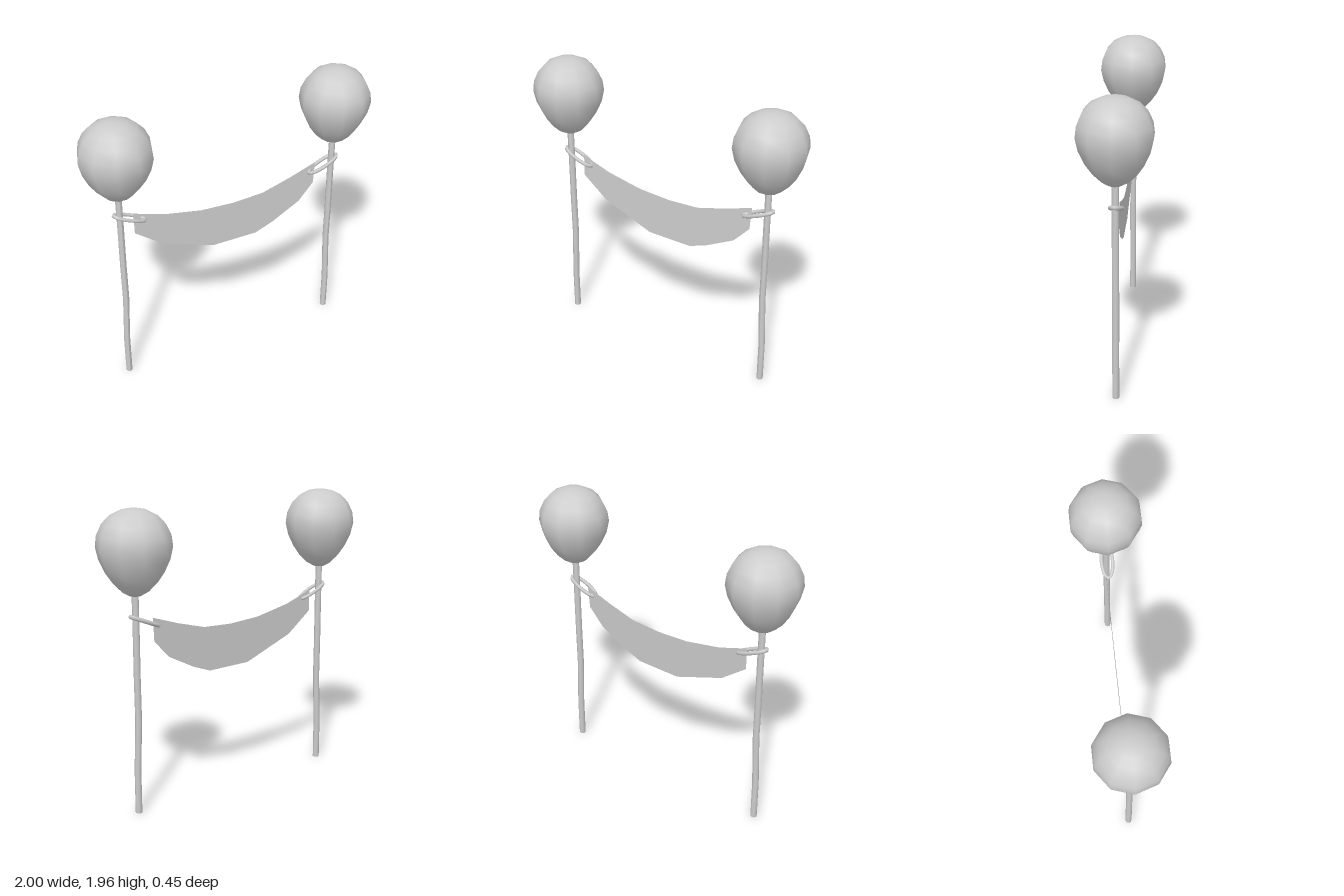
import * as THREE from 'three';

const material = new THREE.MeshStandardMaterial({ color: 0xcccccc });
const sheetMaterial = new THREE.MeshStandardMaterial({ color: 0xcccccc, side: THREE.DoubleSide });

function addMesh(parent, name, geometry, mat = material) {
  const mesh = new THREE.Mesh(geometry, mat);
  mesh.name = name;
  parent.add(mesh);
  return mesh;
}

const points = (list) => list.map(([x, y]) => new THREE.Vector2(x, y));

// Ten-sided balloon, narrower towards the bottom
function balloonGeometry() {
  const profile = points([
    [0, 1.428], [0.04, 1.43], [0.085, 1.455], [0.135, 1.505], [0.18, 1.57], [0.217, 1.65],
    [0.235, 1.73], [0.226, 1.8], [0.194, 1.868], [0.145, 1.92], [0.085, 1.95], [0.035, 1.96], [0, 1.961],
  ]);
  return new THREE.LatheGeometry(profile, 10).rotateY(Math.PI / 2);
}

// Slightly bent pole, built from rings along its height, with closed ends
function poleGeometry(side) {
  const rows = [[0, 0.78], [0.28, 0.78], [0.63, 0.765], [0.9, 0.767], [1.2, 0.766], [1.44, 0.767]];
  const geometry = new THREE.CylinderGeometry(0.022, 0.022, 1, 8, rows.length - 1);
  const p = geometry.attributes.position;
  for (let i = 0; i < p.count; i++) {
    const [y, x] = rows[Math.round((p.getY(i) + 0.5) * (rows.length - 1))];
    p.setXYZ(i, p.getX(i) + side * x, y, p.getZ(i));
  }
  geometry.computeVertexNormals();
  return geometry;
}

// Oval cord loop around the pole, sloping down to the banner
function loopGeometry() {
  const oval = new THREE.CatmullRomCurve3(
    Array.from({ length: 12 }, (_, i) => {
      const a = (i / 12) * Math.PI * 2;
      return new THREE.Vector3(Math.cos(a) * 0.113, 0, Math.sin(a) * 0.037);
    }), true);
  return new THREE.TubeGeometry(oval, 24, 0.013, 6, true);
}

// Sagging sheet hung between the poles
function bannerGeometry() {
  const outline = points([
    [-0.67, 1.27], [-0.67, 1.12], [-0.485, 0.98], [-0.12, 0.845], [0.2, 0.845],
    [0.33, 0.895], [0.53, 1.0], [0.64, 1.12], [0.65, 1.275], [0.46, 1.21],
    [0.25, 1.15], [0.03, 1.138], [-0.2, 1.15], [-0.46, 1.2],
  ]);
  const geometry = new THREE.ShapeGeometry(new THREE.Shape(outline));
  const p = geometry.attributes.position;
  for (let i = 0; i < p.count; i++) p.setZ(i, -0.004 - 0.024 * (p.getY(i) - 0.845));
  geometry.computeVertexNormals();
  return geometry;
}

export function createModel() {
  const model = new THREE.Group();
  model.name = 'balloonBanner';

  for (const side of [-1, 1]) {
    const label = side > 0 ? 'left' : 'right';
    addMesh(model, label + 'Balloon', balloonGeometry()).position.x = side * 0.765;
    addMesh(model, label + 'Pole', poleGeometry(side));
    const loop = addMesh(model, label + 'CordLoop', loopGeometry());
    loop.position.set(side * 0.702, 1.258, 0);
    loop.rotation.z = side * 0.4;
  }

  addMesh(model, 'banner', bannerGeometry(), sheetMaterial);
  return model;
}
